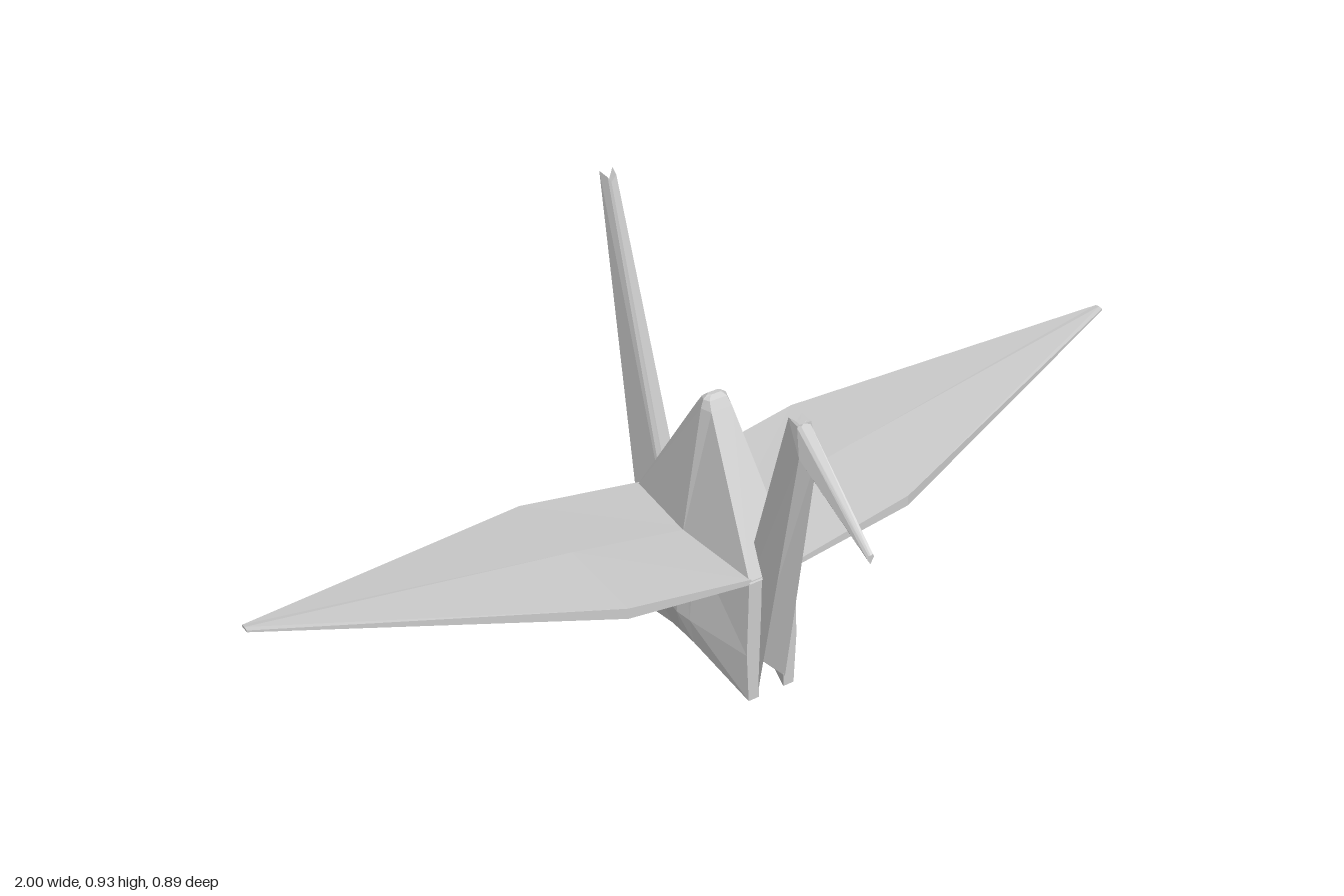
import * as THREE from 'three';

const paper = new THREE.MeshStandardMaterial({ color: 0xcccccc, flatShading: true, side: THREE.DoubleSide });

// Skins a list of equal-length cross-section rings and caps both ends (fan from the first point).
function loft(name, rings) {
  const n = rings[0].length;
  const tris = [];
  for (let k = 0; k < rings.length - 1; k++) {
    for (let i = 0; i < n; i++) {
      const j = (i + 1) % n;
      const a = rings[k][i], b = rings[k][j], c = rings[k + 1][j], d = rings[k + 1][i];
      tris.push([a, b, c], [a, c, d]);
    }
  }
  const last = rings[rings.length - 1];
  for (let i = 1; i < n - 1; i++) {
    tris.push([rings[0][0], rings[0][i + 1], rings[0][i]], [last[0], last[i], last[i + 1]]);
  }
  // Turn the faces outward whichever way the rings run
  let volume = 0;
  for (const [a, b, c] of tris) {
    volume += a[0] * (b[1] * c[2] - b[2] * c[1]) + a[1] * (b[2] * c[0] - b[0] * c[2]) + a[2] * (b[0] * c[1] - b[1] * c[0]);
  }
  const pos = tris.flatMap(([a, b, c]) => (volume < 0 ? [a, c, b] : [a, b, c])).flat();
  const geo = new THREE.BufferGeometry();
  geo.setAttribute('position', new THREE.Float32BufferAttribute(pos, 3));
  geo.computeVertexNormals();
  const mesh = new THREE.Mesh(geo, paper);
  mesh.name = name;
  return mesh;
}

// Folded strip: outer lips o and inner ridge i as [y, z], with a groove between the lips.
function foldedStrip(name, stations) {
  return loft(name, stations.map(({ o, i, w, r, drop = 0 }) => {
    const mid = (t) => [0, o[0] + (i[0] - o[0]) * t - drop, o[1] + (i[1] - o[1]) * t];
    return [mid(0.5), [w, ...o], [r, ...i], mid(0.88), [-r, ...i], [-w, ...o]];
  }));
}

// Doubled side panel of the body, bulging in the middle and notched below.
function bodyPanel(s) {
  const stations = [ // z, bottom y, bulge 0..1
    [0.14, 0.003, 0], [-0.02, 0.06, 0.85], [-0.06, 0.067, 1], [-0.1, 0.06, 0.85], [-0.265, 0.003, 0],
  ];
  return loft('bodyPanel', stations.map(([z, y, b]) => {
    const low = 0.055 + 0.03 * b, mid = 0.06 + 0.035 * b, top = 0.055 + 0.023 * b;
    return [
      [s * (low - 0.025), y, z], [s * low, y, z], [s * mid, 0.12, z],
      [s * top, 0.3, z], [s * (top - 0.03), 0.3, z], [s * (mid - 0.03), 0.12, z],
    ];
  }));
}

// Wing: thin double layer, straight to the shoulder and then tapering to the tip.
function wing(s) {
  const stations = [ // x, front z, back z, underside y, thickness
    [0.05, 0.14, -0.265, 0.292, 0.012],
    [0.33, 0.14, -0.265, 0.33, 0.024],
    [1, -0.054, -0.074, 0.467, 0.004],
  ];
  return loft('wing', stations.map(([x, f, b, y, t]) => {
    const m = (f + b) / 2;
    return [
      [s * x, y, m], [s * x, y, f], [s * x, y + t, f],
      [s * x, y + t * 1.35, m], [s * x, y + t, b], [s * x, y, b],
    ];
  }));
}

// Peaked back between the wings, slightly rounded at the top.
function hump() {
  const levels = [ // y, front z, back z, half width at ends, half width in the middle
    [0.295, 0.142, -0.267, 0.055, 0.078],
    [0.585, -0.035, -0.085, 0.024, 0.032],
    [0.603, -0.047, -0.074, 0.02, 0.026],
    [0.611, -0.056, -0.066, 0.012, 0.016],
  ];
  return loft('hump', levels.map(([y, f, b, e, m]) => [
    [e, y, f], [m, y, (f + b) / 2], [e, y, b], [-e, y, b], [-m, y, (f + b) / 2], [-e, y, f],
  ]));
}

// Head: sharp beak folded forward from the neck, with a keel below.
function head() {
  return loft('head', [
    [[0, 0.612, 0.25], [0.022, 0.635, 0.25], [0.015, 0.697, 0.225], [0, 0.685, 0.225], [-0.015, 0.697, 0.225], [-0.022, 0.635, 0.25]],
    [[0, 0.506, 0.445], [0.008, 0.521, 0.445], [0.005, 0.527, 0.445], [0, 0.525, 0.445], [-0.005, 0.527, 0.445], [-0.008, 0.521, 0.445]],
  ]);
}

export function createModel() {
  const model = new THREE.Group();
  model.name = 'paperCrane';
  for (const s of [1, -1]) model.add(bodyPanel(s), wing(s));
  model.add(hump(), head());
  model.add(foldedStrip('neck', [
    { o: [0.03, 0.142], i: [0.08, 0.02], w: 0.032, r: 0.022 },
    { o: [0.635, 0.25], i: [0.698, 0.205], w: 0.022, r: 0.015, drop: 0.012 },
    { o: [0.696, 0.234], i: [0.7, 0.206], w: 0.016, r: 0.015, drop: 0.012 },
  ]));
  model.add(foldedStrip('tail', [
    { o: [0.03, -0.272], i: [0.08, -0.155], w: 0.034, r: 0.024 },
    { o: [0.93, -0.441], i: [0.924, -0.418], w: 0.015, r: 0.01, drop: 0.015 },
  ]));
  return model;
}
